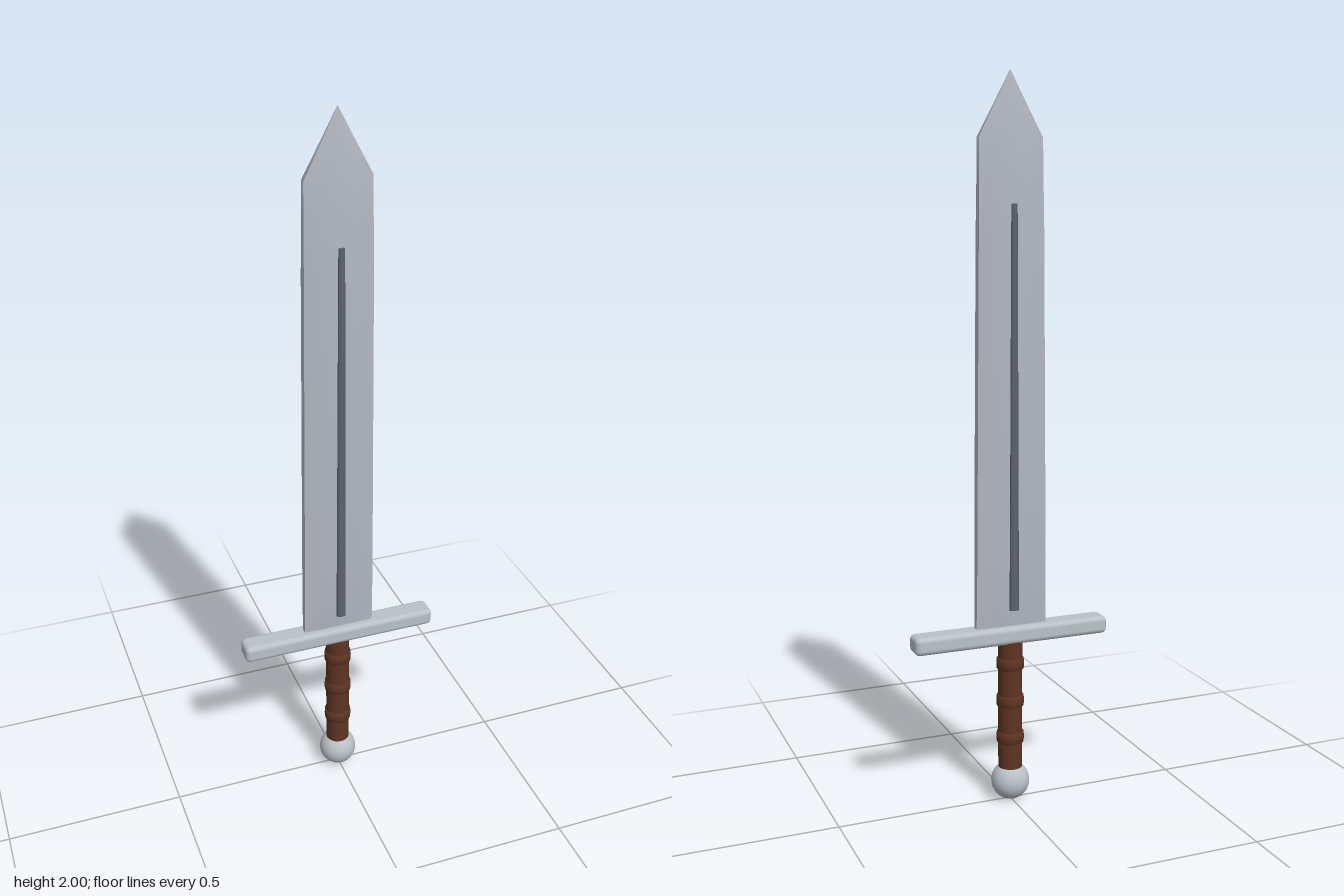
import * as THREE from 'three';
import { toCreasedNormals } from 'three/addons/utils/BufferGeometryUtils.js';
import { RoundedBoxGeometry } from 'three/addons/geometries/RoundedBoxGeometry.js';

function material(name, color) {
  const m = new THREE.MeshStandardMaterial({ color });
  m.name = name;
  return m;
}

// Loft eight-sided sections: [y, half width, half flat width, half thickness, half edge thickness]
function bladeGeometry(sections) {
  const positions = [];
  const index = [];
  const n = 8;
  for (const [y, w, f, t, e] of sections) {
    const ring = [[w, e], [f, t], [-f, t], [-w, e], [-w, -e], [-f, -t], [f, -t], [w, -e]];
    for (const [x, z] of ring) positions.push(x, y, z);
  }
  for (let s = 0; s < sections.length - 1; s++) {
    for (let i = 0; i < n; i++) {
      const a = s * n + i, b = s * n + (i + 1) % n;
      index.push(a, a + n, b, b, a + n, b + n);
    }
  }
  const top = (sections.length - 1) * n;
  for (let i = 1; i < n - 1; i++) {
    index.push(0, i, i + 1);
    index.push(top, top + i + 1, top + i);
  }
  const g = new THREE.BufferGeometry();
  g.setAttribute('position', new THREE.Float32BufferAttribute(positions, 3));
  g.setIndex(index);
  return toCreasedNormals(g, 0.6);
}

export function createModel() {
  const group = new THREE.Group();
  group.name = 'sword';

  const steel = material('blade steel', 0xb3b8c2);
  const fitting = material('polished fittings', 0xb9c1c8);
  const groove = material('dark groove steel', 0x5c6270);
  const leather = material('brown leather', 0x5e3422);

  function add(name, geometry, mat, x = 0, y = 0, z = 0) {
    const mesh = new THREE.Mesh(geometry, mat);
    mesh.name = name;
    mesh.position.set(x, y, z);
    group.add(mesh);
    return mesh;
  }

  // Blade with bevelled edges, thinning at the base and tip
  add('blade', bladeGeometry([
    [0.5, 0.103, 0.055, 0.01, 0.008],
    [0.6, 0.102, 0.054, 0.02, 0.011],
    [0.72, 0.101, 0.053, 0.028, 0.012],
    [1.58, 0.093, 0.048, 0.028, 0.012],
    [1.72, 0.091, 0.044, 0.023, 0.01],
    [1.83, 0.09, 0.036, 0.017, 0.008],
    [1.92, 0.042, 0.017, 0.01, 0.005],
    [2.0, 0.001, 0.0005, 0.001, 0.0005],
  ]), steel);

  // Raised dark strip down the middle of each face
  for (const side of [1, -1]) {
    const strip = new THREE.CylinderGeometry(0.009, 0.014, 1.1, 8);
    strip.scale(1, 1, 0.55);
    add(side > 0 ? 'frontStrip' : 'backStrip', strip, groove, 0, 1.11, side * 0.03);
  }

  // Crossguard
  add('crossguard', new RoundedBoxGeometry(0.57, 0.05, 0.066, 2, 0.014), fitting, 0, 0.485, 0);

  // Grip and its raised bands
  add('grip', new THREE.CylinderGeometry(0.034, 0.034, 0.37, 24), leather, 0, 0.28, 0);
  for (const y of [0.185, 0.292, 0.4]) {
    const band = new THREE.LatheGeometry([
      [0.032, -0.018], [0.038, -0.014], [0.039, 0], [0.038, 0.014], [0.032, 0.018],
    ].map(([r, h]) => new THREE.Vector2(r, h)), 24);
    add('gripBand', band, leather, 0, y, 0);
  }

  // Pommel
  add('pommel', new THREE.SphereGeometry(0.054, 28, 18), fitting, 0, 0.054, 0);

  return group;
}
